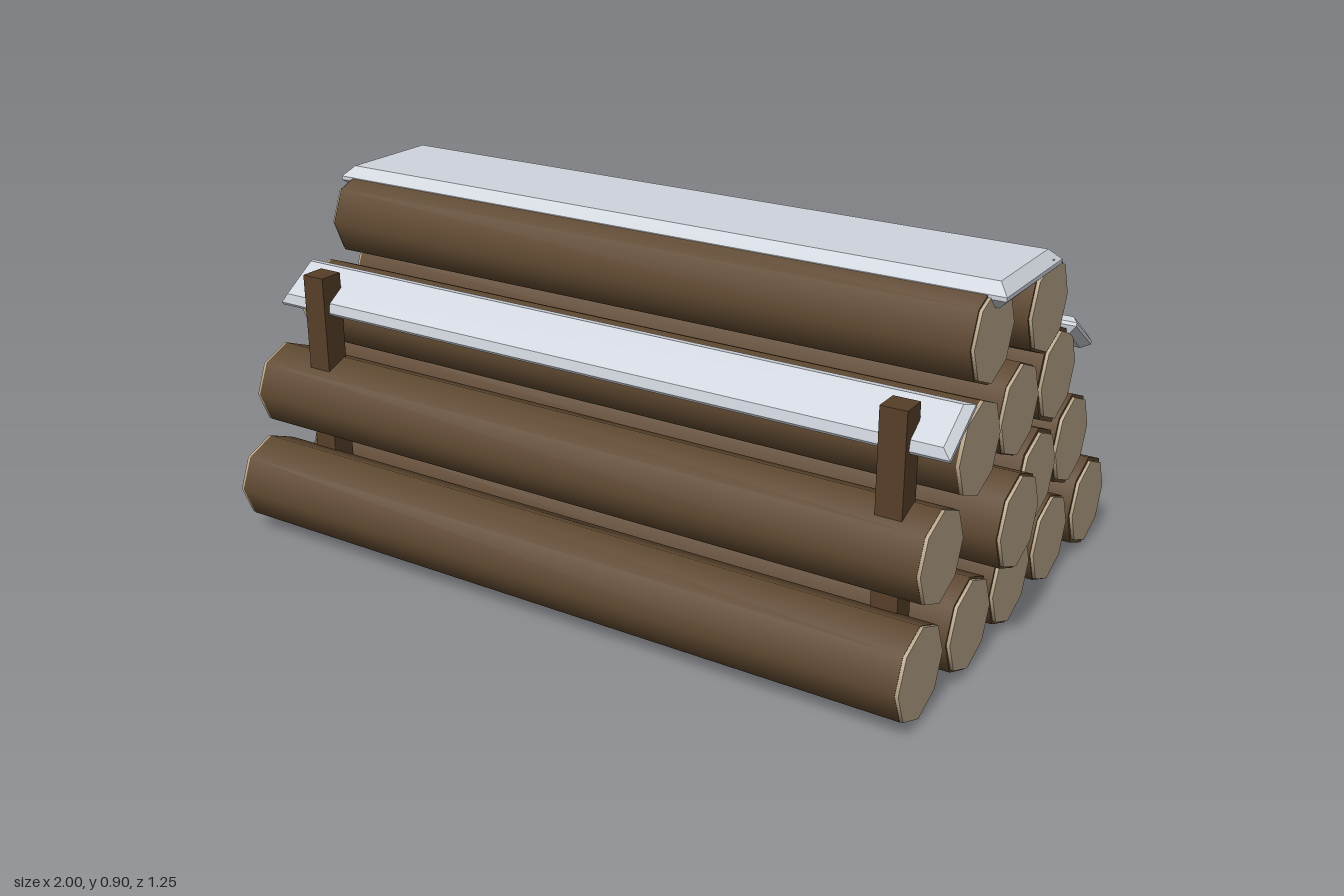
import * as THREE from 'three';

const material = (name, color) => {
  const m = new THREE.MeshStandardMaterial({ color });
  m.name = name;
  return m;
};

export function createModel() {
  const bark = material('bark brown', 0x5f4830);
  const cutWood = material('cut wood tan', 0xb9a78a);
  const postWood = material('post brown', 0x573f29);
  const snow = material('snow white', 0xd0d5dd);

  const model = new THREE.Group();
  model.name = 'logPile';

  const add = (parent, name, geometry, mat, x, y, z) => {
    const mesh = new THREE.Mesh(geometry, mat);
    mesh.name = name;
    mesh.position.set(x, y, z);
    parent.add(mesh);
    return mesh;
  };

  // Eight-sided rod lying along x, a corner pointing straight up
  const rod = (radius, length) =>
    new THREE.CylinderGeometry(radius, radius, length, 8).rotateZ(Math.PI / 2);

  // Stacked rows of logs: [z, bark radius, left-hand end, right-hand end]
  const rows = [
    { y: 0.128, logs: [
      [0.51, 0.113, -0.96, 0.94], [0.26, 0.118, -0.95, 0.945], [0.007, 0.119, -0.95, 0.94],
      [-0.245, 0.116, -0.95, 0.94], [-0.5, 0.122, -0.935, 0.945]] },
    { y: 0.345, logs: [
      [0.385, 0.113, -1, 0.92], [0.133, 0.118, -0.95, 0.995],
      [-0.12, 0.122, -0.95, 0.94], [-0.373, 0.121, -0.995, 0.93]] },
    { y: 0.557, logs: [
      [0.26, 0.112, -0.935, 0.94], [0.007, 0.115, -0.985, 0.93], [-0.247, 0.123, -0.955, 0.925]] },
    { y: 0.77, logs: [[0.133, 0.117, -0.925, 0.905], [-0.12, 0.118, -0.96, 0.935]] },
  ];
  const capDepth = 0.008;
  rows.forEach(({ y, logs }) => logs.forEach(([z, radius, x0, x1]) => {
    const log = new THREE.Group();
    log.name = 'log';
    log.position.set((x0 + x1) / 2, y, z);
    const length = x1 - x0;
    add(log, 'logBark', rod(radius, length - 2 * capDepth), bark, 0, 0, 0);
    for (const side of [-1, 1]) {
      add(log, 'logEnd', rod(0.112, capDepth), cutWood, side * (length - capDepth) / 2, 0, 0);
    }
    model.add(log);
  }));

  // Four upright posts holding the pile together
  for (const x of [-0.82, 0.815]) {
    for (const z of [0.41, -0.397]) {
      add(model, 'post', new THREE.BoxGeometry(0.065, 0.688, 0.065), postWood, x, 0.344, z);
    }
  }

  // Flat slab with chamfered edges, lying in the xz plane
  const slab = (length, thickness, width, bevel) => {
    const a = length / 2 - bevel, b = width / 2 - bevel;
    const outline = new THREE.Shape([[-a, -b], [a, -b], [a, b], [-a, b]]
      .map(([x, y]) => new THREE.Vector2(x, y)));
    return new THREE.ExtrudeGeometry(outline, {
      depth: thickness - 2 * bevel, bevelEnabled: true,
      bevelThickness: bevel, bevelSize: bevel, bevelSegments: 1,
    }).center().rotateX(-Math.PI / 2);
  };

  // Snow on the top and on both shoulders of the pile
  add(model, 'topSnow', slab(1.895, 0.062, 0.328, 0.026), snow, -0.007, 0.869, 0.005);
  for (const side of [1, -1]) {
    const shoulder = add(model, 'shoulderSnow', slab(1.895, 0.045, 0.15, 0.018), snow,
      -0.007, 0.63, side * 0.362);
    shoulder.rotation.x = side * 0.6;
  }

  return model;
}
